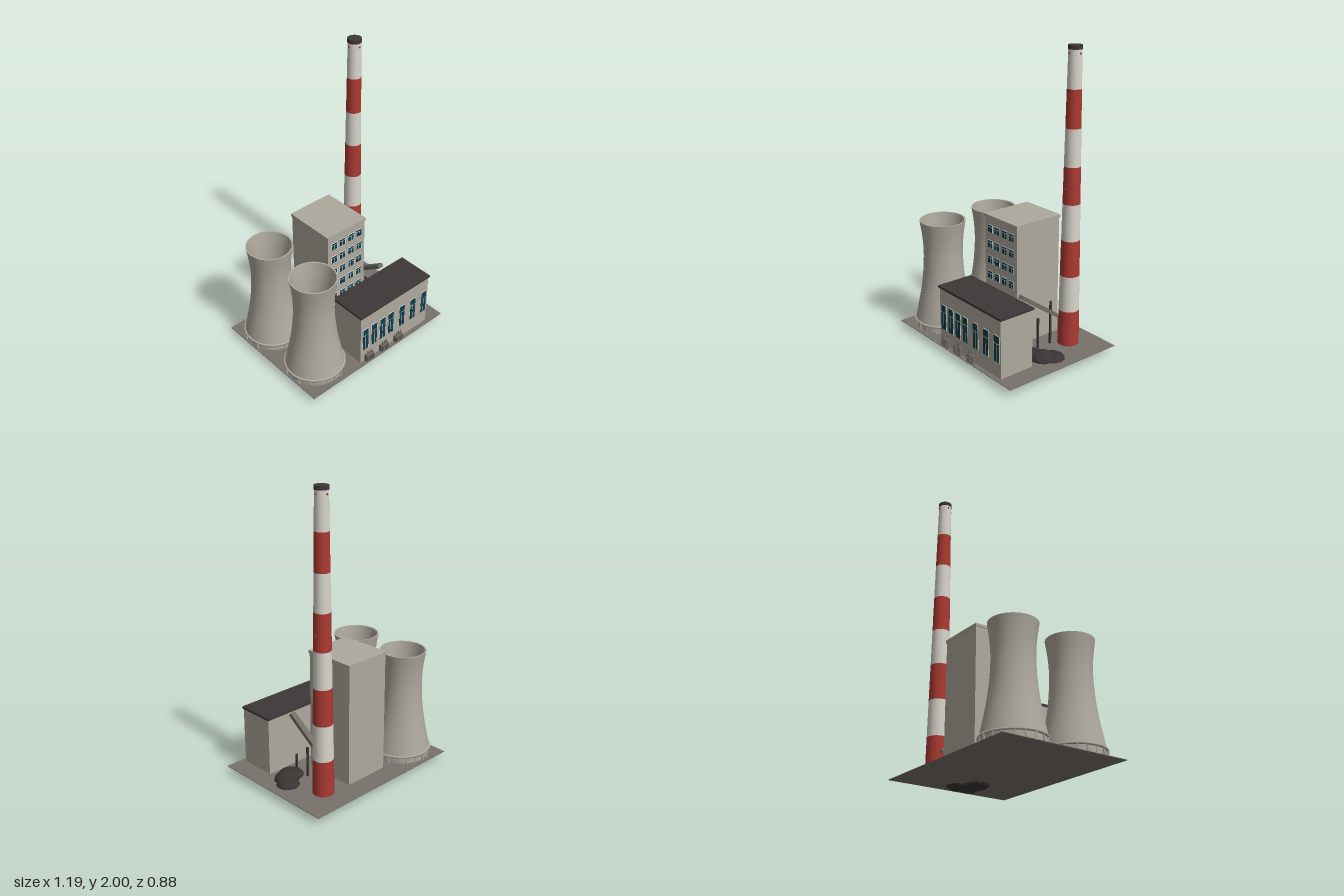
import * as THREE from 'three';

const mat = (name, color, opts = {}) => {
  const m = new THREE.MeshStandardMaterial({ color, ...opts });
  m.name = name;
  return m;
};

export function createModel() {
  const concrete = mat('concrete', 0xaea99d);
  const asphalt = mat('asphalt', 0x78716b);
  const dark = mat('dark roofing', 0x3f3737);
  const coalMat = mat('coal', 0x3a3434, { flatShading: true });
  const white = mat('white paint', 0xd8d5ca);
  const red = mat('red paint', 0xac3a32);
  const glass = mat('window glass', 0x0f3a48);
  const frameMat = mat('window frame', 0xdde4e4);
  const steel = mat('steel', 0x706b65);

  const model = new THREE.Group();
  model.name = 'powerPlant';

  const group = (name, parent = model) => {
    const g = new THREE.Group();
    g.name = name;
    parent.add(g);
    return g;
  };
  const add = (name, geo, material, x, y, z, parent) => {
    const m = new THREE.Mesh(geo, material);
    m.name = name;
    m.position.set(x, y, z);
    parent.add(m);
    return m;
  };
  // Box given by its minimum and maximum corners
  const box = (name, material, [x0, y0, z0], [x1, y1, z1], parent) =>
    add(name, new THREE.BoxGeometry(x1 - x0, y1 - y0, z1 - z0), material,
      (x0 + x1) / 2, (y0 + y1) / 2, (z0 + z1) / 2, parent);

  const G = 0.05; // ground level
  box('ground', asphalt, [-0.595, G - 0.004, -0.443], [0.595, G, 0.44], model);

  // Window: frame plate, an upper pane and two lower panes
  function addWindow(parent, x, y, z, w, h) {
    const win = group('window', parent);
    win.position.set(x, y, z);
    const t = 0.003, bar = 0.006, split = h * 0.2;
    const pw = (w - 2 * t - bar) / 2;
    box('windowFrame', frameMat, [-w / 2, -h / 2, -0.002], [w / 2, h / 2, 0.002], win);
    for (const s of [-1, 1]) {
      const c = s * (pw + bar) / 2;
      box('lowerPane', glass, [c - pw / 2, -h / 2 + t, 0], [c + pw / 2, split - bar / 2, 0.004], win);
    }
    box('upperPane', glass, [-w / 2 + t, split + bar / 2, 0], [w / 2 - t, h / 2 - t, 0.004], win);
  }

  // Cooling towers: closed thin-walled shell, lintel ring, columns and basin
  const outer = new THREE.SplineCurve([
    [0.195, 0.1], [0.175, 0.2], [0.156, 0.3], [0.142, 0.4],
    [0.134, 0.5], [0.132, 0.6], [0.139, 0.7], [0.154, 0.8],
  ].map(p => new THREE.Vector2(...p))).getPoints(28);
  const inner = outer.map(p => new THREE.Vector2(p.x - 0.01, p.y)).reverse();
  const shellOut = new THREE.LatheGeometry(outer, 48);
  const shellIn = new THREE.LatheGeometry(inner, 48);
  const rim = new THREE.RingGeometry(0.144, 0.154, 48).rotateX(-Math.PI / 2);
  const ring = new THREE.LatheGeometry(
    [[0.185, 0.094], [0.204, 0.094], [0.204, 0.104], [0.185, 0.104]].map(p => new THREE.Vector2(...p)), 48);
  const column = new THREE.CylinderGeometry(0.005, 0.005, 0.056, 6);
  for (const z of [-0.218, 0.214]) {
    const tower = group('coolingTower');
    tower.position.set(-0.392, 0, z);
    add('towerShell', shellOut, concrete, 0, 0, 0, tower);
    add('towerInside', shellIn, concrete, 0, 0, 0, tower);
    add('towerRim', rim, concrete, 0, 0.8, 0, tower);
    add('towerRing', ring, concrete, 0, 0, 0, tower);
    add('towerSkirt', new THREE.CylinderGeometry(0.19, 0.19, 0.05, 48, 1, true), concrete, 0, 0.075, 0, tower);
    add('towerBasin', new THREE.CylinderGeometry(0.18, 0.18, 0.06, 48), dark, 0, 0.09, 0, tower);
    for (let i = 0; i < 20; i++) {
      const a = (i / 20) * Math.PI * 2;
      const c = add('towerColumn', column, concrete, 0.199 * Math.cos(a), 0.073, 0.199 * Math.sin(a), tower);
      c.rotation.set(0, -a, 0);
      c.rotateX(i % 2 ? 0.25 : -0.25);
    }
  }

  // Chimney with alternating bands, dark cap and warning lights
  const chimney = group('chimney');
  chimney.position.set(0.363, 0, -0.243);
  const top = 1.98, bands = 8, step = (top - G) / bands;
  const radius = y => 0.0705 - 0.0285 * (y - G) / (top - G);
  for (let i = 0; i < bands; i++) {
    const y = G + i * step;
    add('chimneyBand', new THREE.CylinderGeometry(radius(y + step), radius(y), step, 32, 1, true),
      i % 2 ? white : red, 0, y + step / 2, 0, chimney);
  }
  add('chimneyCap', new THREE.CylinderGeometry(0.045, 0.045, 0.025, 32), dark, 0, 1.9875, 0, chimney);
  for (const y of [1.115, 1.953]) {
    for (let i = 0; i < 4; i++) {
      const a = i * Math.PI / 2, r = radius(y) + 0.004;
      add('warningLight', new THREE.SphereGeometry(0.006, 8, 6), red, r * Math.cos(a), y, r * Math.sin(a), chimney);
    }
  }

  // Tall boiler house
  const boiler = group('boilerHouse');
  box('boilerWalls', concrete, [-0.13, G, -0.3], [0.193, 0.862, 0.056], boiler);
  box('boilerRoof', concrete, [-0.136, 0.862, -0.306], [0.199, 0.88, 0.062], boiler);
  for (let row = 0; row < 6; row++) {
    for (const x of [-0.077, -0.006, 0.07, 0.14]) {
      addWindow(boiler, x, 0.787 - row * 0.108, 0.057, 0.049, 0.054);
    }
  }

  // Turbine hall
  const hall = group('turbineHall');
  box('hallWalls', concrete, [-0.162, G, 0.158], [0.465, 0.44, 0.408], hall);
  box('hallRoof', dark, [-0.169, 0.44, 0.151], [0.472, 0.455, 0.415], hall);
  for (const x of [-0.12, -0.042, 0.035, 0.112, 0.217, 0.322, 0.427]) {
    addWindow(hall, x, 0.243, 0.409, 0.052, 0.178);
  }

  // Transformers with cooling fins and bushings
  for (const x of [-0.09, 0.046, 0.181]) {
    const tr = group('transformer');
    tr.position.x = x;
    box('transformerTank', steel, [-0.033, G, 0.405], [0.033, 0.103, 0.432], tr);
    for (let i = -2; i <= 2; i++) {
      box('coolingFin', steel, [i * 0.013 - 0.003, 0.058, 0.43], [i * 0.013 + 0.003, 0.096, 0.439], tr);
    }
    for (const bx of [-0.017, 0, 0.017]) {
      add('bushing', new THREE.CylinderGeometry(0.003, 0.004, 0.034, 8), steel, bx, 0.118, 0.424, tr);
    }
  }

  // Pipes running behind the hall
  [[-0.18, 0.24], [-0.144, 0.265], [-0.108, 0.29]].forEach(([x, y]) => {
    const pipe = add('pipe', new THREE.CylinderGeometry(0.01, 0.01, 0.21, 12), steel, x, y, 0.086, model);
    pipe.rotation.x = Math.PI / 2;
  });

  // Inclined conveyor with its posts
  const conveyor = group('conveyor');
  const zA = 0.113, yA = 0.45, zB = -0.258, yB = 0.188;
  const gallery = add('conveyorGallery',
    new THREE.BoxGeometry(0.04, 0.026, Math.hypot(zA - zB, yA - yB)), steel,
    0.301, (yA + yB) / 2, (zA + zB) / 2, conveyor);
  gallery.rotation.x = -Math.atan2(yA - yB, zA - zB);
  for (const [z, h] of [[0.075, 0.17], [-0.031, 0.26], [-0.138, 0.35]]) {
    box('conveyorPost', dark, [0.296, G, z - 0.006], [0.308, h, z + 0.006], conveyor);
  }

  // Coal pile of flattened faceted lumps
  const pile = group('coalPile');
  for (const [x, z, r, h] of [[0.365, 0.06, 0.084, 0.04], [0.425, 0.035, 0.083, 0.05], [0.462, -0.02, 0.077, 0.036]]) {
    const lump = add('coalHeap', new THREE.IcosahedronGeometry(1, 1), coalMat, x, G, z, pile);
    lump.scale.set(r, h, r);
  }

  return model;
}
